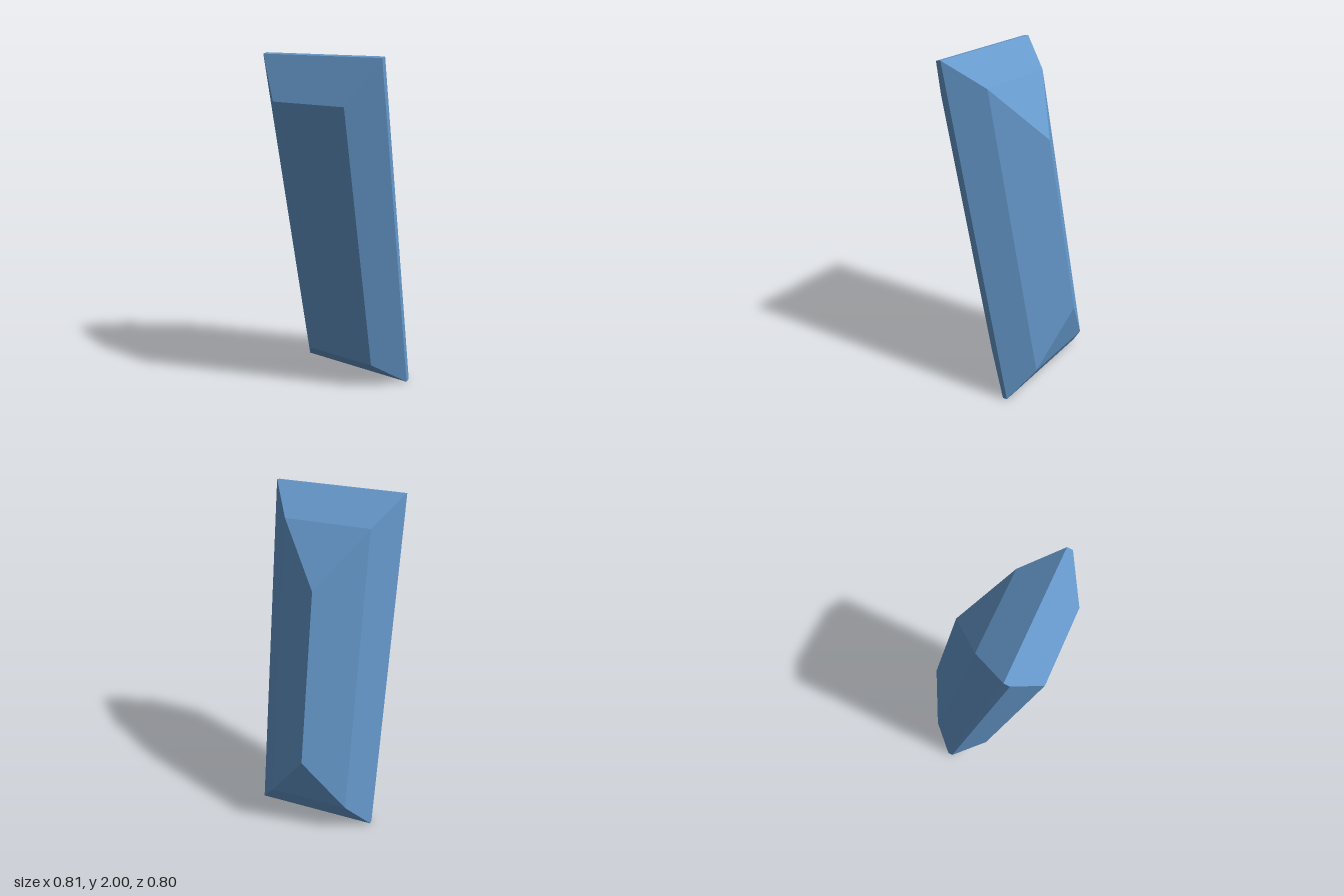
import * as THREE from 'three';

// Step-cut crystal: rectangular sections stacked along local z,
// each [z, half width, half height]
const SECTIONS = [
  [0.164, 0.219, 0.811],  // flat table
  [0, 0.365, 1.018],      // girdle, front rim
  [-0.031, 0.365, 1.018], // girdle, back rim
  [-0.195, 0.239, 0.842], // step of the pavilion
  [-0.357, 0, 0.51],      // keel line
];

function crystalGeometry() {
  const loops = SECTIONS.map(([z, w, h]) =>
    [[w, h], [-w, h], [-w, -h], [w, -h]].map(([x, y]) => new THREE.Vector3(x, y, z)));
  const points = [];
  const triangle = (a, b, c) => {
    // the keel has zero width, so skip its collapsed triangles
    if (a.equals(b) || b.equals(c) || c.equals(a)) return;
    points.push(a, b, c);
  };
  const quad = (a, b, c, d) => { triangle(a, b, c); triangle(a, c, d); };

  quad(...loops[0]);
  for (let i = 0; i < loops.length - 1; i++) {
    for (let k = 0; k < 4; k++) {
      const n = (k + 1) % 4;
      quad(loops[i][k], loops[i + 1][k], loops[i + 1][n], loops[i][n]);
    }
  }
  const geometry = new THREE.BufferGeometry().setFromPoints(points);
  geometry.computeVertexNormals();
  return geometry;
}

export function createModel() {
  const group = new THREE.Group();
  group.name = 'crystal';

  const material = new THREE.MeshStandardMaterial({ color: 0x6699cc, flatShading: true });
  const gem = new THREE.Mesh(crystalGeometry(), material);
  gem.name = 'cutGem';

  // Lean the gem forward and turn it a little to the side
  const across = new THREE.Vector3(0.71, 0, 0.168).normalize();
  const along = new THREE.Vector3(-0.095, 2, 0.39).normalize();
  const facing = across.clone().cross(along).normalize();
  along.crossVectors(facing, across);
  gem.quaternion.setFromRotationMatrix(new THREE.Matrix4().makeBasis(across, along, facing));
  gem.position.set(-0.0025, 0.997, 0.0375);

  group.add(gem);
  return group;
}
